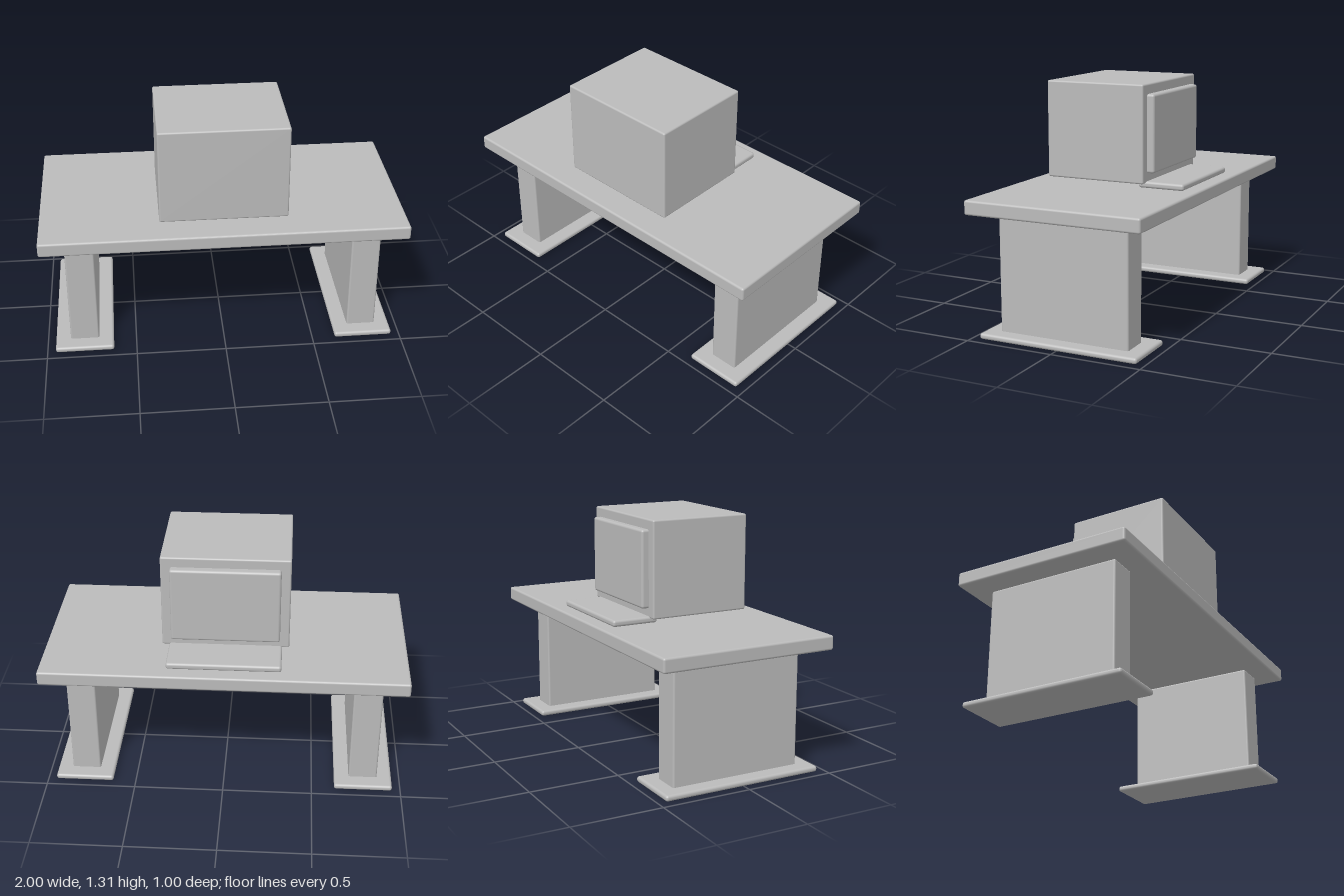
import * as THREE from 'three';
import { RoundedBoxGeometry } from 'three/addons/geometries/RoundedBoxGeometry.js';

export function createModel() {
  const model = new THREE.Group();
  model.name = 'computerDesk';
  const grey = new THREE.MeshStandardMaterial({ color: 0xbbbbbb });
  grey.name = 'grey';

  // Rounded block spanning min to max on each axis
  function block(name, [x0, x1], [y0, y1], [z0, z1], radius) {
    const mesh = new THREE.Mesh(
      new RoundedBoxGeometry(x1 - x0, y1 - y0, z1 - z0, 3, radius), grey);
    mesh.position.set((x0 + x1) / 2, (y0 + y1) / 2, (z0 + z1) / 2);
    mesh.name = name;
    model.add(mesh);
  }

  // Desk
  block('desktop', [-1, 1], [0.672, 0.751], [-0.5, 0.5], 0.012);
  for (const [side, s] of [['left', 1], ['right', -1]]) {
    const x = 0.79 * s;
    block(side + 'Leg', [x - 0.08, x + 0.08], [0.02, 0.668], [-0.373, 0.373], 0.01);
    block(side + 'Foot', [x - 0.163, x + 0.163], [0, 0.032], [-0.457, 0.457], 0.014);
  }

  // Computer, with its screen and keyboard facing the back
  block('monitorCase', [-0.35, 0.35], [0.777, 1.312], [-0.207, 0.373], 0.01);
  block('screen', [-0.298, 0.298], [0.83, 1.257], [-0.248, -0.18], 0.014);
  block('keyboard', [-0.311, 0.311], [0.751, 0.787], [-0.425, -0.16], 0.014);

  return model;
}
